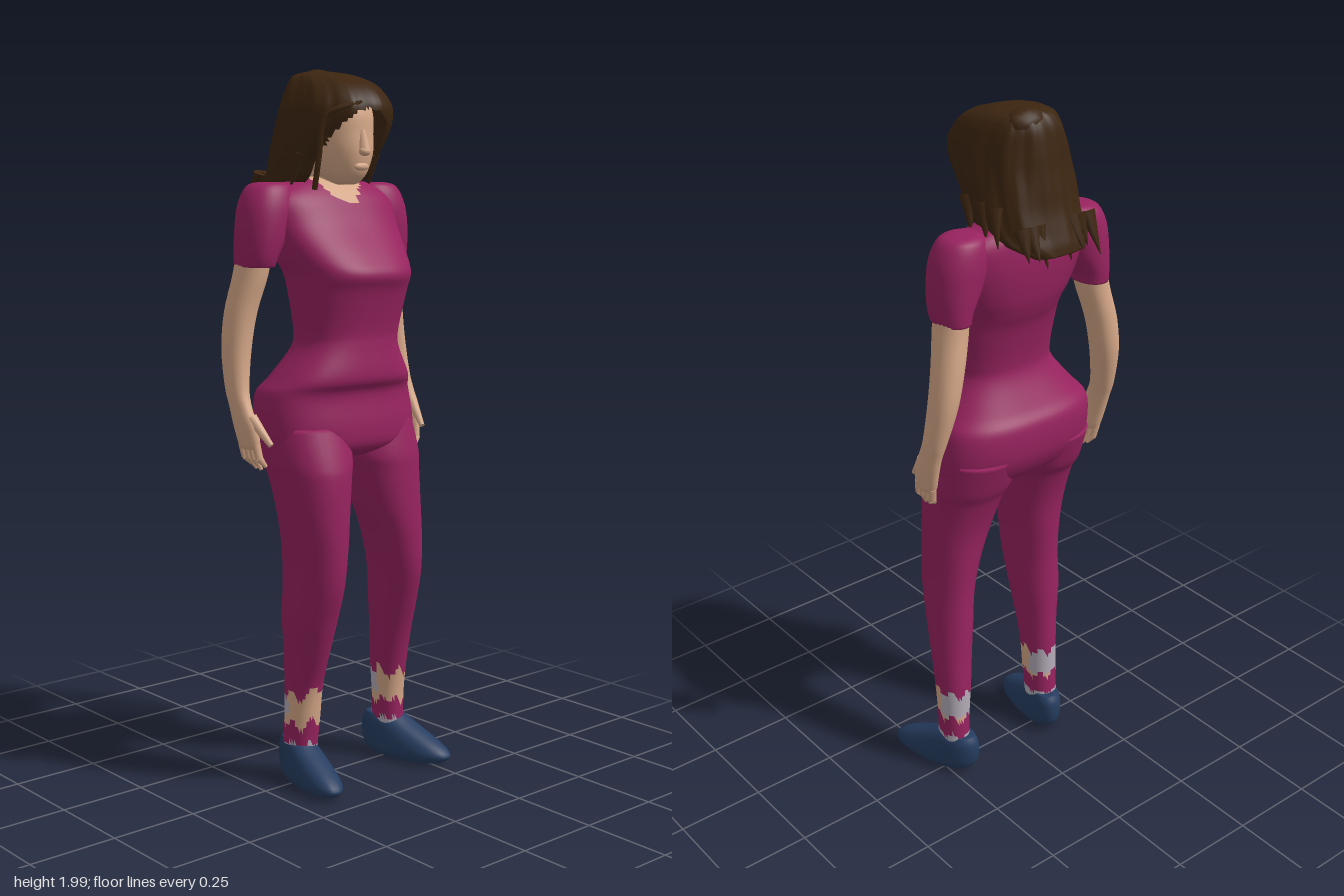
import * as THREE from 'three';

const mat = (name, color) => {
  const m = new THREE.MeshStandardMaterial({ color });
  m.name = name;
  return m;
};

// Catmull-Rom value between b and c
const spline = (a, b, c, d, t) =>
  0.5 * (2 * b + (c - a) * t + (2 * a - 5 * b + 4 * c - d) * t * t + (3 * b - a - 3 * c + d) * t * t * t);

// Skin over horizontal rings, top to bottom. Row: [y, xMin, xMax, zBack, zFront].
// pick(x, y, z) gives a material index per face, or -1 for an opening.
function loft(name, rows, mats, { n = 2, seg = 32, sub = 4, pick = () => 0, bump = () => 1, warp } = {}) {
  const rings = [];
  for (let i = 0; i < rows.length - 1; i++) {
    const r = [i - 1, i, i + 1, i + 2].map(k => rows[Math.max(0, Math.min(rows.length - 1, k))]);
    for (let s = 0; s < sub; s++) rings.push(r[0].map((_, k) => spline(r[0][k], r[1][k], r[2][k], r[3][k], s / sub)));
  }
  rings.push(rows[rows.length - 1]);
  const pos = [];
  const put = (x, y, z) => pos.push(...(warp ? warp(x, y, z) : [x, y, z]));
  const round = v => Math.sign(v) * Math.abs(v) ** (2 / n);
  rings.forEach(([y, x0, x1, z0, z1], i) => {
    for (let j = 0; j < seg; j++) {
      const t = j / seg * Math.PI * 2, b = bump(t, i / rings.length) / 2;
      put((x0 + x1) / 2 + (x1 - x0) * b * round(Math.cos(t)), y, (z0 + z1) / 2 + (z1 - z0) * b * round(Math.sin(t)));
    }
  });
  const last = rings.length - 1, top = pos.length / 3;
  for (const [y, x0, x1, z0, z1] of [rings[0], rings[last]]) put((x0 + x1) / 2, y, (z0 + z1) / 2);
  const faces = mats.map(() => []);
  const tri = (...v) => {
    const c = [0, 1, 2].map(k => v.reduce((s, p) => s + pos[p * 3 + k], 0) / 3);
    const m = pick(...c);
    if (m >= 0) faces[m].push(...v);
  };
  for (let j = 0; j < seg; j++) {
    const k = (j + 1) % seg;
    tri(top, k, j);
    for (let i = 0; i < last; i++) {
      const a = i * seg + j, b = i * seg + k;
      tri(a, b, a + seg);
      tri(b, b + seg, a + seg);
    }
    tri(top + 1, last * seg + j, last * seg + k);
  }
  const g = new THREE.BufferGeometry();
  g.setAttribute('position', new THREE.Float32BufferAttribute(pos, 3));
  g.setIndex(faces.flat());
  let start = 0;
  faces.forEach((f, i) => { g.addGroup(start, f.length, i); start += f.length; });
  g.computeVertexNormals();
  const mesh = new THREE.Mesh(g, mats);
  mesh.name = name;
  return mesh;
}

// Tapered rod between two points
function rod(name, a, b, r0, r1, material, flat = 1) {
  const p = new THREE.Vector3(...a), q = new THREE.Vector3(...b), d = q.clone().sub(p);
  const g = new THREE.CylinderGeometry(r1, r0, d.length(), 8, 2);
  g.scale(1, 1, flat);
  const m = new THREE.Mesh(g, material);
  m.position.copy(p).add(q).multiplyScalar(0.5);
  m.quaternion.setFromUnitVectors(new THREE.Vector3(0, 1, 0), d.normalize());
  m.name = name;
  return m;
}

export function createModel() {
  const group = new THREE.Group();
  const cloth = mat('magenta cloth', 0x97235f), skin = mat('skin', 0xd6a888), hair = mat('brown hair', 0x3c2510);
  const shoe = mat('navy shoe', 0x263d60), sock = mat('pale grey sock', 0xb5adb9);
  hair.side = THREE.DoubleSide;
  const add = (...m) => group.add(...m);

  // Torso with a scooped neckline
  add(loft('torso', [
    [1.71, -0.07, 0.055, -0.085, 0.015],
    [1.69, -0.16, 0.14, -0.1, 0.04],
    [1.65, -0.22, 0.2, -0.112, 0.075],
    [1.58, -0.215, 0.2, -0.115, 0.115],
    [1.5, -0.195, 0.185, -0.105, 0.18],
    [1.45, -0.175, 0.17, -0.09, 0.213],
    [1.4, -0.17, 0.165, -0.07, 0.195],
    [1.3, -0.158, 0.148, -0.05, 0.172],
    [1.25, -0.165, 0.148, -0.055, 0.172],
    [1.17, -0.225, 0.195, -0.095, 0.178],
    [1.125, -0.255, 0.222, -0.122, 0.155],
    [1.04, -0.258, 0.235, -0.122, 0.163],
    [0.98, -0.24, 0.225, -0.095, 0.155],
    [0.95, -0.15, 0.14, -0.06, 0.11],
  ], [cloth, skin], {
    n: 2.5, seg: 64, sub: 5,
    pick: (x, y, z) => (z > -0.02 && y > 1.64 + ((x + 0.01) / 0.07) ** 2 * 0.05 ? 1 : 0),
  }));

  // Legs with patchy bare ankles and sock cuffs
  const legs = {
    left: [
      [1.04, 0.0, 0.228, -0.115, 0.145], [0.95, 0.0, 0.24, -0.088, 0.163], [0.9, 0.02, 0.236, -0.065, 0.165],
      [0.8, 0.052, 0.235, -0.04, 0.165], [0.7, 0.092, 0.236, -0.033, 0.163], [0.6, 0.12, 0.24, -0.033, 0.152],
      [0.5, 0.135, 0.25, -0.04, 0.12], [0.4, 0.15, 0.257, -0.046, 0.085], [0.3, 0.165, 0.26, -0.055, 0.06],
      [0.2, 0.175, 0.26, -0.055, 0.045], [0.1, 0.18, 0.26, -0.06, 0.045]],
    right: [
      [1.04, -0.253, -0.01, -0.115, 0.15], [0.95, -0.25, -0.022, -0.088, 0.18], [0.9, -0.24, -0.04, -0.06, 0.19],
      [0.8, -0.225, -0.055, -0.035, 0.192], [0.7, -0.207, -0.065, -0.03, 0.19], [0.6, -0.2, -0.07, -0.03, 0.178],
      [0.5, -0.195, -0.07, -0.038, 0.145], [0.4, -0.177, -0.075, -0.044, 0.11], [0.3, -0.166, -0.075, -0.05, 0.075],
      [0.2, -0.165, -0.075, -0.05, 0.06], [0.1, -0.165, -0.08, -0.055, 0.05]],
  };
  const anklePick = (x, y, z) => {
    const ragged = 0.012 * Math.sin(x * 130) + 0.012 * Math.sin(z * 110);
    if (y > 0.28 + ragged) return 0;
    if (y > 0.195 + ragged) return z < 0 && y > 0.21 ? 2 : 1;
    return y > 0.135 + ragged * 0.7 ? 0 : 2;
  };
  for (const side in legs) {
    add(loft(side + 'Leg', legs[side], [cloth, skin, sock], { n: 2.2, seg: 36, sub: 6, pick: anklePick }));
  }

  // Shoes, toes turned outward
  const shoeRows = [
    [0.135, -0.036, 0.036, -0.07, 0.035], [0.115, -0.045, 0.045, -0.082, 0.07], [0.09, -0.05, 0.05, -0.086, 0.12],
    [0.06, -0.054, 0.054, -0.084, 0.175], [0.035, -0.054, 0.054, -0.075, 0.198], [0.015, -0.045, 0.045, -0.05, 0.175],
    [0.008, -0.03, 0.03, -0.02, 0.13]];
  for (const [name, x, turn] of [['leftShoe', 0.223, 0.24], ['rightShoe', -0.124, -0.14]]) {
    add(loft(name, shoeRows, [shoe], { n: 2.3, warp: (px, y, z) => [x + px + z * turn, y, z] }));
  }

  // Sleeves, arms and hands; the right arm stands a little wider
  for (const s of [1, -1]) {
    const side = s > 0 ? 'left' : 'right';
    const out = (x, y) => s > 0 ? x : -x - 0.027 * Math.max(0, Math.min(1, (y - 1) / 0.35));
    const rows = list => list.map(([y, a, b, z0, z1]) => [y, ...[out(a, y), out(b, y)].sort((p, q) => p - q), z0, z1]);
    add(loft(side + 'Sleeve', rows([
      [1.695, 0.14, 0.2, -0.055, 0.0], [1.683, 0.12, 0.238, -0.085, 0.03], [1.63, 0.11, 0.265, -0.1, 0.048],
      [1.56, 0.135, 0.272, -0.102, 0.05], [1.5, 0.17, 0.27, -0.1, 0.042], [1.47, 0.178, 0.267, -0.098, 0.032],
    ]), [cloth], { n: 2.2 }));
    add(loft(side + 'Arm', rows([
      [1.53, 0.18, 0.258, -0.09, 0.02], [1.45, 0.188, 0.272, -0.095, 0.012], [1.35, 0.212, 0.293, -0.105, -0.008],
      [1.25, 0.237, 0.309, -0.105, -0.015], [1.15, 0.262, 0.318, -0.085, -0.008], [1.1, 0.272, 0.318, -0.07, 0.008],
      [1.05, 0.274, 0.318, -0.058, 0.03], [1.0, 0.274, 0.314, -0.045, 0.035], [0.985, 0.28, 0.308, -0.035, 0.028],
    ]), [skin], { n: 2.2, seg: 24 }));
    for (let i = 0; i < 4; i++) {
      const z = -0.034 + i * 0.02, tip = 0.925 + Math.abs(i - 1.6) * 0.01;
      add(rod(side + 'Finger', [out(0.295, 1), 1.0, z], [out(0.29, 0.96), 0.96, z + 0.008], 0.012, 0.011, skin));
      add(rod(side + 'Fingertip', [out(0.29, 0.96), 0.962, z + 0.008], [out(0.275, 0.9), tip, z + 0.018], 0.011, 0.005, skin));
    }
    add(rod(side + 'Thumb', [out(0.292, 1.07), 1.07, 0.01], [out(0.278, 1), 1.0, 0.07], 0.017, 0.008, skin));
  }

  // Neck, head and facial relief
  add(loft('neck', [
    [1.79, -0.07, 0.03, -0.06, 0.06], [1.71, -0.065, 0.045, -0.07, 0.045], [1.64, -0.08, 0.06, -0.08, 0.045],
  ], [skin]));
  add(loft('head', [
    [1.96, -0.06, 0.01, -0.05, 0.06], [1.93, -0.1, 0.05, -0.09, 0.12], [1.88, -0.114, 0.064, -0.11, 0.15],
    [1.82, -0.114, 0.062, -0.11, 0.155], [1.77, -0.105, 0.055, -0.09, 0.157], [1.72, -0.082, 0.028, -0.02, 0.146],
    [1.695, -0.06, 0.005, 0.04, 0.125], [1.688, -0.045, -0.01, 0.06, 0.11],
  ], [skin], { n: 2.2 }));
  add(rod('noseBridge', [-0.028, 1.83, 0.148], [-0.028, 1.775, 0.16], 0.01, 0.016, skin));
  const blob = (name, x, y, z, sx, sy, sz) => {
    const m = new THREE.Mesh(new THREE.SphereGeometry(1, 16, 10), skin);
    m.position.set(x, y, z);
    m.scale.set(sx, sy, sz);
    m.name = name;
    add(m);
  };
  blob('noseTip', -0.028, 1.775, 0.161, 0.018, 0.013, 0.014);
  blob('lips', -0.028, 1.735, 0.148, 0.025, 0.011, 0.01);

  // Hair shell, open around the face and swept back at the bottom
  add(loft('hair', [
    [1.992, -0.04, 0.03, -0.09, -0.02], [1.98, -0.085, 0.07, -0.11, 0.05], [1.95, -0.115, 0.095, -0.128, 0.135],
    [1.9, -0.14, 0.112, -0.138, 0.183], [1.85, -0.15, 0.12, -0.145, 0.178], [1.8, -0.155, 0.124, -0.155, 0.145],
    [1.75, -0.155, 0.126, -0.165, 0.1], [1.7, -0.15, 0.12, -0.182, 0.06], [1.665, -0.135, 0.1, -0.195, -0.04],
    [1.64, -0.11, 0.06, -0.2, -0.12],
  ], [hair], {
    n: 2.4, seg: 72, sub: 5,
    bump: (t, v) => 1 + 0.02 * Math.sin(t * 9 + v * 5) + 0.015 * Math.sin(t * 23 - v * 4),
    pick: (x, y, z) =>
      z > 0.02 && ((x + 0.027) / 0.09) ** 2 + ((Math.max(y, 1.78) - 1.78) / 0.105) ** 2 < 1 ? -1 : 0,
  }));

  // Raised knot at the crown
  const knot = new THREE.Mesh(new THREE.IcosahedronGeometry(0.06, 2), hair);
  knot.scale.set(1, 0.65, 0.75);
  knot.position.set(0.01, 1.962, -0.075);
  knot.name = 'hairKnot';
  add(knot);

  // Ragged lock ends along the back and sides
  for (let i = 0; i < 9; i++) {
    const x = -0.13 + i * 0.027, low = 1.615 + 0.03 * Math.abs(Math.sin(i * 2.1));
    add(rod('hairLock', [x, 1.72, -0.155], [x * 1.05, low, -0.205 + 0.02 * Math.sin(i * 1.7) ** 2], 0.026, 0.001, hair, 0.7));
  }
  for (const [x, z] of [[-0.14, 0.02], [-0.14, -0.04], [0.115, 0.02], [0.12, -0.05], [0.13, -0.11]]) {
    add(rod('sideLock', [x, 1.77, z + 0.01], [x * 1.1, 1.675, z - 0.02], 0.022, 0.001, hair, 0.8));
  }

  // Loose strand beside the face
  const strand = new THREE.CatmullRomCurve3([
    [-0.05, 1.9, 0.17], [-0.12, 1.885, 0.162], [-0.15, 1.86, 0.14], [-0.154, 1.76, 0.122], [-0.155, 1.675, 0.105],
  ].map(p => new THREE.Vector3(...p)));
  const loose = new THREE.Mesh(new THREE.TubeGeometry(strand, 20, 0.008, 6), hair);
  loose.name = 'looseStrand';
  add(loose);

  return group;
}
